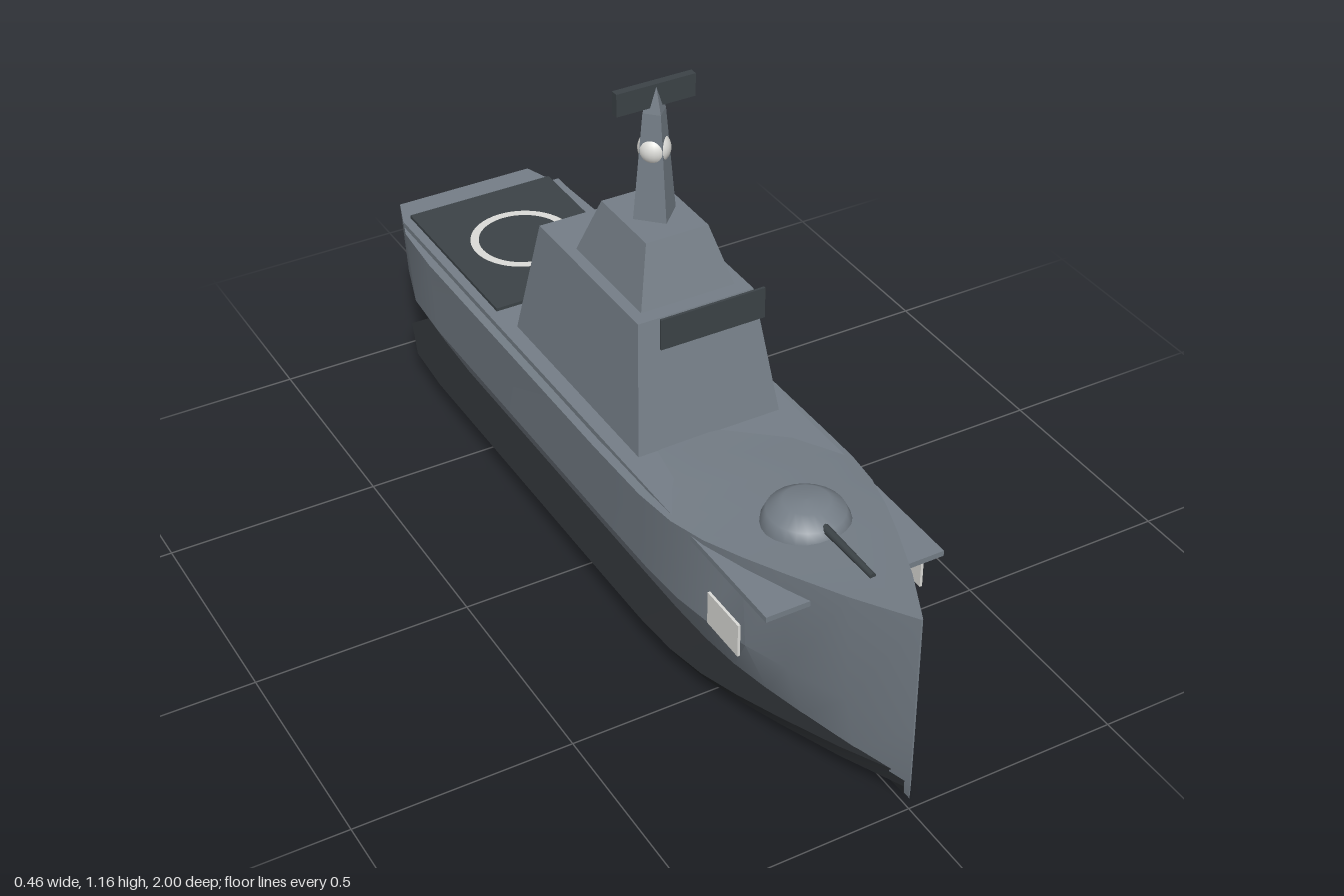
import * as THREE from 'three';
import { toCreasedNormals } from 'three/addons/utils/BufferGeometryUtils.js';

const paint = (name, color) => {
  const m = new THREE.MeshStandardMaterial({ color });
  m.name = name;
  return m;
};

// Skin closed cross-sections (stern to bow, each listed counter-clockwise from +z) and cap both ends
function loft(rings, crease) {
  const pos = [];
  const n = rings[0].length;
  const tri = (...pts) => pts.forEach((p) => pos.push(...p));
  for (let i = 0; i < rings.length - 1; i++) {
    for (let j = 0; j < n; j++) {
      const k = (j + 1) % n;
      const a = rings[i][j], b = rings[i][k], c = rings[i + 1][k], d = rings[i + 1][j];
      tri(a, b, d);
      tri(b, c, d);
    }
  }
  const first = rings[0], last = rings[rings.length - 1];
  for (let j = 1; j < n - 1; j++) {
    tri(first[0], first[j + 1], first[j]);
    tri(last[0], last[j], last[j + 1]);
  }
  const geo = new THREE.BufferGeometry();
  geo.setAttribute('position', new THREE.Float32BufferAttribute(pos, 3));
  return toCreasedNormals(geo, crease);
}

// Full ring from its left-hand half: top centre, side points, bottom centre
function mirrorRing(top, side, bottom, z) {
  return [
    [0, top, z],
    ...side.map(([x, y]) => [-x, y, z]),
    [0, bottom, z],
    ...side.slice().reverse().map(([x, y]) => [x, y, z]),
  ];
}

// Box whose top face is narrowed to a smaller rectangle
function taperedBlock(w, d, topW, topD, h) {
  const geo = new THREE.BoxGeometry(w, h, d);
  const p = geo.attributes.position;
  for (let i = 0; i < p.count; i++) {
    if (p.getY(i) > 0) {
      p.setX(i, Math.sign(p.getX(i)) * topW / 2);
      p.setZ(i, Math.sign(p.getZ(i)) * topD / 2);
    }
  }
  geo.computeVertexNormals();
  return geo;
}

export function createModel() {
  const ship = new THREE.Group();
  ship.name = 'ship';
  const grey = paint('hull grey', 0x757e87);
  const dark = paint('dark grey', 0x3c4347);
  const black = paint('bottom black', 0x26292c);
  const white = paint('off white', 0xdcdcd8);

  const add = (name, geo, mat, x = 0, y = 0, z = 0) => {
    const mesh = new THREE.Mesh(geo, mat);
    mesh.name = name;
    mesh.position.set(x, y, z);
    ship.add(mesh);
    return mesh;
  };
  const box = (name, mat, w, h, d, x, y, z) => add(name, new THREE.BoxGeometry(w, h, d), mat, x, y, z);

  // Hull stations: z, half width, deck edge height, deck centre height
  const stations = [
    [-1, 0.175, 0.412, 0.412], [-0.87, 0.22, 0.412, 0.412], [-0.72, 0.23, 0.412, 0.412],
    [0.1, 0.23, 0.412, 0.415], [0.3, 0.229, 0.416, 0.442], [0.42, 0.222, 0.425, 0.452],
    [0.52, 0.204, 0.438, 0.459], [0.62, 0.172, 0.452, 0.465], [0.72, 0.133, 0.465, 0.471],
    [0.86, 0.073, 0.482, 0.484], [1, 0.002, 0.5, 0.5],
  ];
  add('hull', loft(stations.map(([z, w, edge, centre]) => mirrorRing(
    centre, [[w, edge], [w * 0.93, 0.215], [w * 0.6, 0.07]], 0.03, z)), 0.35), grey);

  // Flared dark bottom, following the hull plan
  add('hullBottom', loft(stations.map(([z, w]) => {
    const rise = Math.max(0, (z - 0.55) / 0.45);
    return mirrorRing(0.072 + rise * 0.008,
      [[w * 0.98, 0.072 + rise * 0.008], [w * 0.91, 0.048]], 0.002 + rise * 0.024, z * 0.98);
  }), 0.35), black);

  // Deck plate, overhanging the narrowing bow
  box('deckPlate', grey, 0.42, 0.013, 1.675, 0, 0.419, -0.062);

  // Landing pad and its painted circle
  box('landingPad', dark, 0.375, 0.009, 0.465, 0, 0.429, -0.677);
  const circle = add('landingCircle', new THREE.RingGeometry(0.105, 0.125, 48), white, 0, 0.436, -0.68);
  circle.rotation.x = -Math.PI / 2;

  // Superstructure
  add('lowerSuperstructure', taperedBlock(0.35, 0.57, 0.28, 0.445, 0.3), grey, 0, 0.567, -0.084);
  add('upperSuperstructure', taperedBlock(0.228, 0.29, 0.15, 0.195, 0.137), grey, 0, 0.783, -0.04);
  box('bridgeWindow', dark, 0.25, 0.074, 0.006, 0, 0.727, 0.207);

  // Four-sided mast with sensor ball and radar bar
  const mastProfile = [[0.052, 0.85], [0.028, 1.1], [0.007, 1.165], [0, 1.165]];
  const mast = new THREE.LatheGeometry(mastProfile.map(([x, y]) => new THREE.Vector2(x, y)), 4);
  add('mast', toCreasedNormals(mast, 0.1), grey, 0, 0, -0.04);
  add('sensorBall', new THREE.SphereGeometry(0.036, 24, 16), white, 0, 1.012, -0.04);
  box('radarBar', dark, 0.187, 0.053, 0.018, 0, 1.139, -0.04);

  // Gun turret and barrel
  const turretProfile = [[0.096, 0.43], [0.094, 0.462], [0.083, 0.485], [0.05, 0.507], [0, 0.509]];
  add('gunTurret', new THREE.LatheGeometry(turretProfile.map(([x, y]) => new THREE.Vector2(x, y)), 24),
    grey, 0, 0, 0.585);
  const barrel = add('gunBarrel', new THREE.CylinderGeometry(0.007, 0.01, 0.19, 10), dark, 0, 0.484, 0.735);
  barrel.rotation.x = Math.PI / 2;

  // Pale side panels by the bow
  for (const [name, side] of [['leftBowPanel', 1], ['rightBowPanel', -1]]) {
    box(name, white, 0.006, 0.08, 0.12, side * 0.22, 0.308, 0.633);
  }
  return ship;
}
